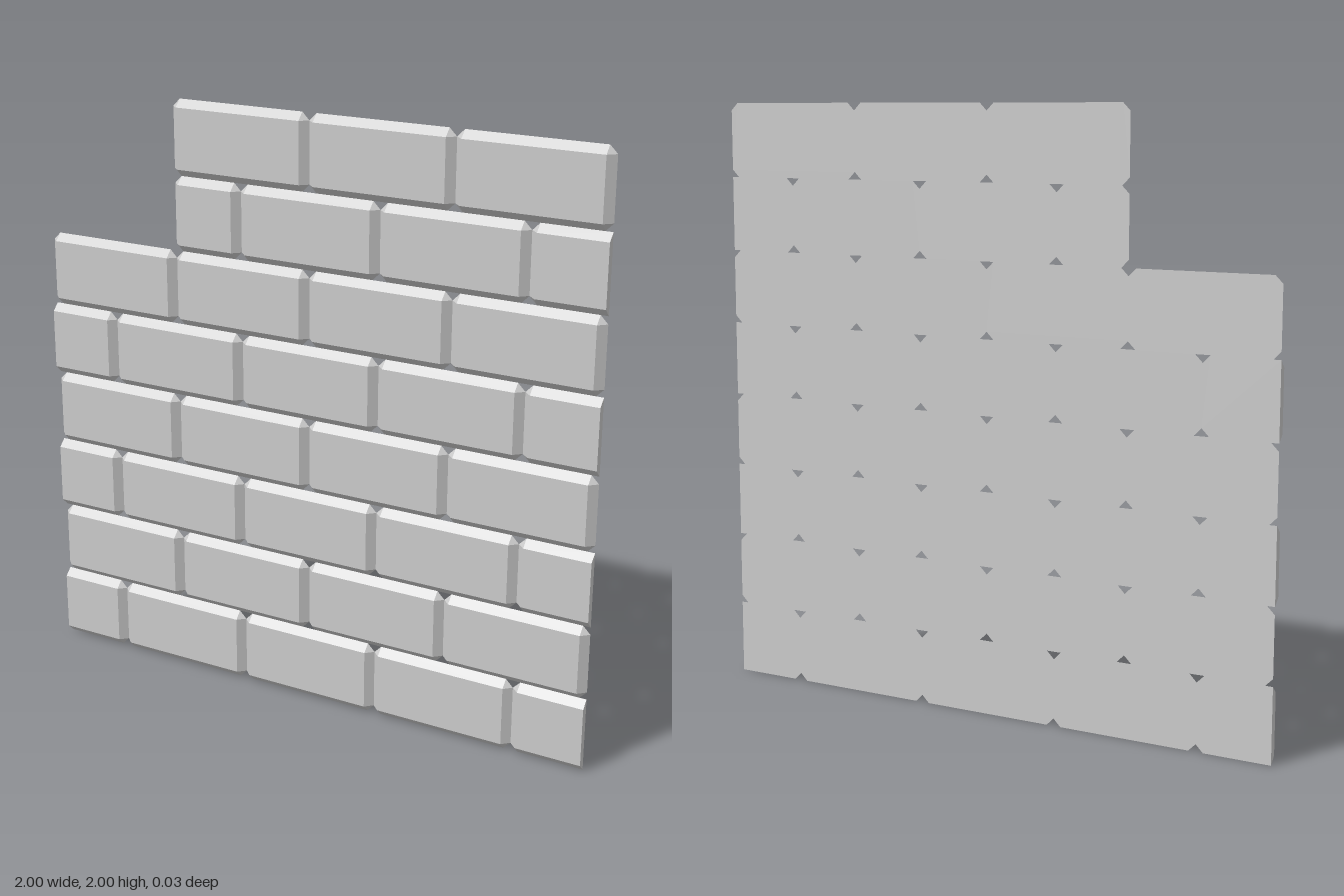
import * as THREE from 'three';
import { ConvexGeometry } from 'three/addons/geometries/ConvexGeometry.js';

const BEVEL = 0.025;   // slope width, also the corner cut
const HALF_DEPTH = 0.0125;
const ROW = 0.25;      // course height
const LENGTH = 0.5;    // full brick length

// Brick with a flat back and sloped front edges; an end may be cut square.
function brickGeometry(width, height, squareLeft, squareRight) {
  const points = [];
  for (const sx of [-1, 1]) {
    const square = sx < 0 ? squareLeft : squareRight;
    const x = sx * width / 2;
    const innerX = square ? x : x - sx * BEVEL;
    for (const sy of [-1, 1]) {
      const y = sy * height / 2;
      const innerY = y - sy * BEVEL;
      points.push(new THREE.Vector3(innerX, innerY, HALF_DEPTH));
      points.push(new THREE.Vector3(innerX, y, -HALF_DEPTH));
      if (!square) points.push(new THREE.Vector3(x, innerY, -HALF_DEPTH));
    }
  }
  return new ConvexGeometry(points);
}

export function createModel() {
  const wall = new THREE.Group();
  wall.name = 'brickWall';
  const material = new THREE.MeshStandardMaterial({ color: 0xcccccc, flatShading: true });

  for (let row = 0; row < 8; row++) {
    const course = new THREE.Group();
    course.name = `course${row + 1}`;
    course.position.y = (row + 0.5) * ROW;
    const start = row < 6 ? -1 : -0.5;   // the top two courses are stepped back
    const staggered = row % 2 === 0;     // these courses begin and end with half bricks

    let x = start;
    while (x < 0.999) {
      const first = x === start;
      const width = staggered && first ? LENGTH / 2 : Math.min(LENGTH, 1 - x);
      const last = x + width > 0.999;
      const squareLeft = staggered && first && start === -1;
      const squareRight = staggered && last;
      const brick = new THREE.Mesh(brickGeometry(width, ROW, squareLeft, squareRight), material);
      brick.name = width < LENGTH ? 'halfBrick' : 'brick';
      brick.position.x = x + width / 2;
      course.add(brick);
      x += width;
    }
    wall.add(course);
  }
  return wall;
}
